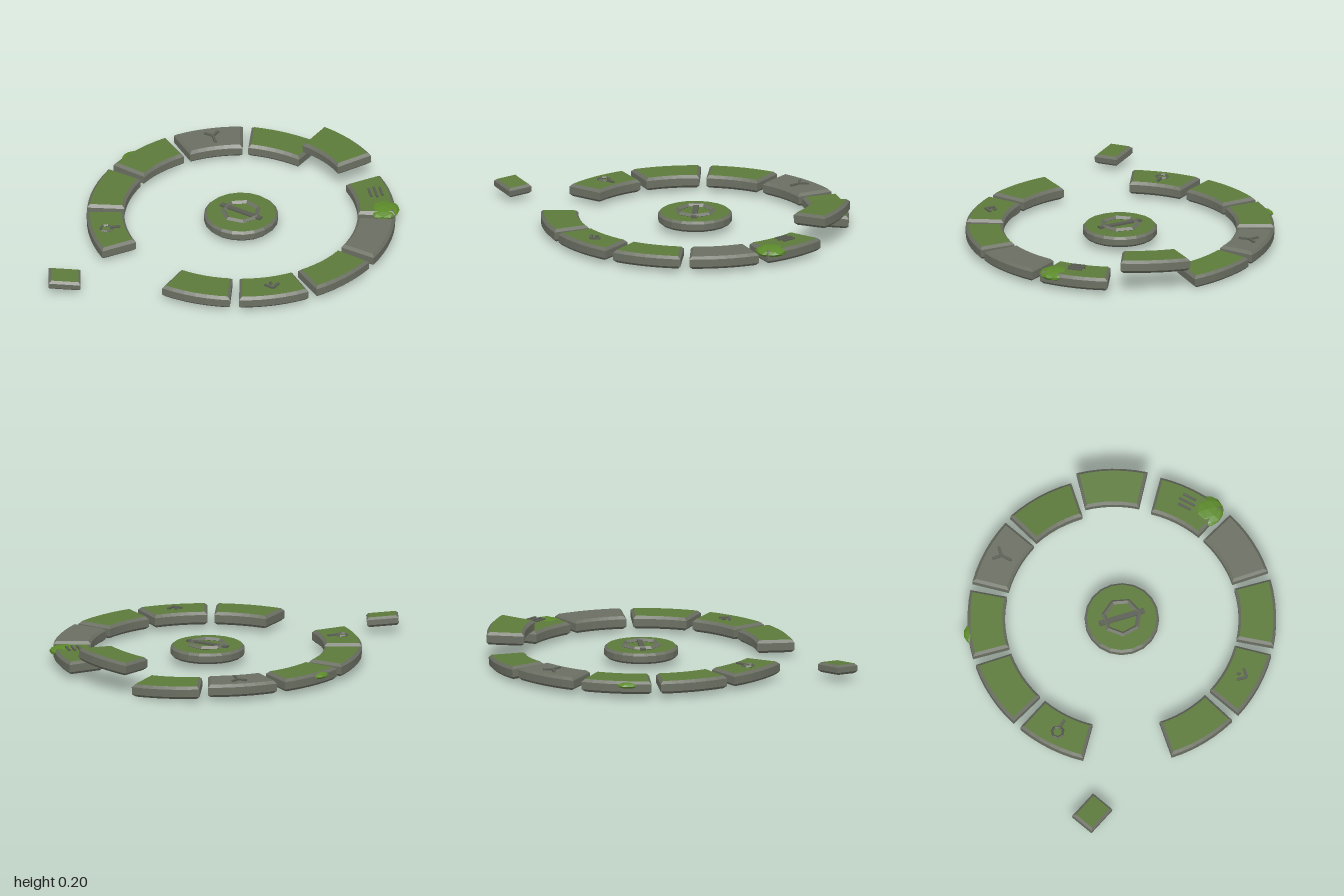
import * as THREE from 'three';

const mat = (name, color) => new THREE.MeshStandardMaterial({ name, color, flatShading: true });
const ZC = -0.153; // ring centre along z

// Bevelled slab from an outline (x, -z), centred on its own height; the top cap has its own material
function slab(name, points, height, bevel, top, stone) {
  const geo = new THREE.ExtrudeGeometry(new THREE.Shape(points), {
    depth: height - bevel * 2, bevelEnabled: true, bevelSegments: 1,
    bevelSize: bevel, bevelThickness: bevel, bevelOffset: -bevel,
  });
  geo.translate(0, 0, bevel - height / 2);
  geo.rotateX(-Math.PI / 2);
  const caps = geo.groups[0].count;
  const total = geo.attributes.position.count;
  geo.clearGroups();
  geo.addGroup(0, caps / 2, 0);
  geo.addGroup(caps / 2, caps / 2, 1);
  geo.addGroup(caps, total - caps, 0);
  const mesh = new THREE.Mesh(geo, [stone, top]);
  mesh.name = name;
  return mesh;
}

// Outline of one curved ring block about its own centre
function arcPoints(mid, half, inner, outer, cx, cy) {
  const pts = [];
  const n = 6;
  for (let i = 0; i <= n; i++) {
    const a = mid - half + (2 * half * i) / n;
    pts.push(new THREE.Vector2(Math.cos(a) * outer - cx, Math.sin(a) * outer - cy));
  }
  for (let i = n; i >= 0; i--) {
    const a = mid - half + (2 * half * i) / n;
    pts.push(new THREE.Vector2(Math.cos(a) * inner - cx, Math.sin(a) * inner - cy));
  }
  return pts;
}

export function createModel() {
  const model = new THREE.Group();
  model.name = 'stoneRing';
  const stone = mat('stone', 0x6b6f62);
  const moss = mat('mossTop', 0x5c7a3a);
  const tuft = mat('brightMoss', 0x5c8a2a);
  const carving = mat('carving', 0x5a5e53);

  // Ring of blocks, counted from the model's left towards the back; one gap at the front
  const offsets = {
    2: { x: -0.027, y: 0.153, rx: 0.05, rz: 0.045, ry: -0.03 },
    3: { x: -0.008, y: 0.049, rx: -0.05, rz: -0.04, ry: -0.02 },
  };
  for (let i = 0; i < 12; i++) {
    if (i === 8) continue;
    const mid = ((i * 30 + 15) * Math.PI) / 180;
    const cx = Math.cos(mid) * 0.745;
    const cy = Math.sin(mid) * 0.745;
    const pts = arcPoints(mid, (13.3 * Math.PI) / 180, 0.643, 0.85, cx, cy);
    const top = i === 0 || i === 4 ? stone : moss;
    const block = slab('ringBlock' + (i + 1), pts, 0.072, 0.015, top, stone);
    const o = offsets[i] || { x: 0, y: 0.063, rx: 0, ry: 0, rz: 0 };
    block.position.set(cx + o.x, o.y, ZC - cy);
    block.rotation.set(o.rx, o.ry, o.rz);
    model.add(block);
  }

  // Central disc
  const circle = [];
  for (let i = 0; i < 20; i++) {
    const a = (i / 20) * Math.PI * 2;
    circle.push(new THREE.Vector2(Math.cos(a) * 0.205, Math.sin(a) * 0.205));
  }
  const disc = slab('centralDisc', circle, 0.06, 0.013, moss, stone);
  disc.position.set(0, 0.066, ZC);
  model.add(disc);

  // Fallen block lying apart from the ring
  const rect = [[-0.088, -0.07], [0.088, -0.07], [0.088, 0.07], [-0.088, 0.07]];
  const fallen = slab('fallenBlock', rect.map(p => new THREE.Vector2(...p)), 0.055, 0.013, moss, stone);
  fallen.position.set(-0.492, 0.066, 0.886);
  fallen.rotation.set(0.06, 0.57, -0.08, 'YXZ');
  model.add(fallen);

  // Carved marks made of bars and seven-sided rings
  const bar = (name, x1, z1, x2, z2, y = 0.102, w = 0.015, h = 0.012) => {
    const m = new THREE.Mesh(new THREE.BoxGeometry(Math.hypot(x2 - x1, z2 - z1), h, w), carving);
    m.name = name;
    m.position.set((x1 + x2) / 2, y, (z1 + z2) / 2);
    m.rotation.y = -Math.atan2(z2 - z1, x2 - x1);
    model.add(m);
  };
  const ring = (name, x, z, y, radius, tube, mat) => {
    const geo = new THREE.TorusGeometry(radius, tube, 4, 7);
    geo.rotateX(Math.PI / 2);
    const m = new THREE.Mesh(geo, mat);
    m.name = name;
    m.position.set(x, y, z);
    model.add(m);
  };

  // Centre mark
  ring('centreRing', 0, ZC, 0.098, 0.1, 0.014, stone);
  bar('centreBar', -0.13, ZC, 0.13, ZC, 0.099, 0.03, 0.014);

  // Three-bar mark
  for (let i = -1; i <= 1; i++) {
    const x = 0.54 + i * 0.022;
    const z = -0.685 - i * 0.022;
    const l = 0.028 + (i === 0 ? 0.006 : 0);
    bar('barMark', x - l, z - l, x + l, z + l, 0.122, 0.013, 0.008);
  }

  // Forked mark
  bar('forkStem', -0.526, -0.693, -0.482, -0.649);
  bar('forkArm', -0.526, -0.693, -0.58, -0.69);
  bar('forkArm', -0.526, -0.693, -0.526, -0.746);

  // Ring-and-stem mark
  ring('ringMark', -0.537, 0.386, 0.1, 0.032, 0.008, carving);
  bar('ringStem', -0.518, 0.366, -0.48, 0.33);

  // Chevron mark with a dot
  bar('chevronArm', 0.553, 0.388, 0.498, 0.385);
  bar('chevronArm', 0.553, 0.388, 0.553, 0.333);
  bar('chevronDot', 0.51, 0.348, 0.523, 0.361);

  // Moss tufts growing over block edges
  [[0.635, 0.078, -0.615, 0.09, 0.028], [-0.79, 0.076, -0.305, 0.072, 0.021]].forEach(([x, y, z, r, h]) => {
    const m = new THREE.Mesh(new THREE.IcosahedronGeometry(1, 1), tuft);
    m.name = 'mossTuft';
    m.scale.set(r, h, r);
    m.position.set(x, y, z);
    model.add(m);
  });

  return model;
}
